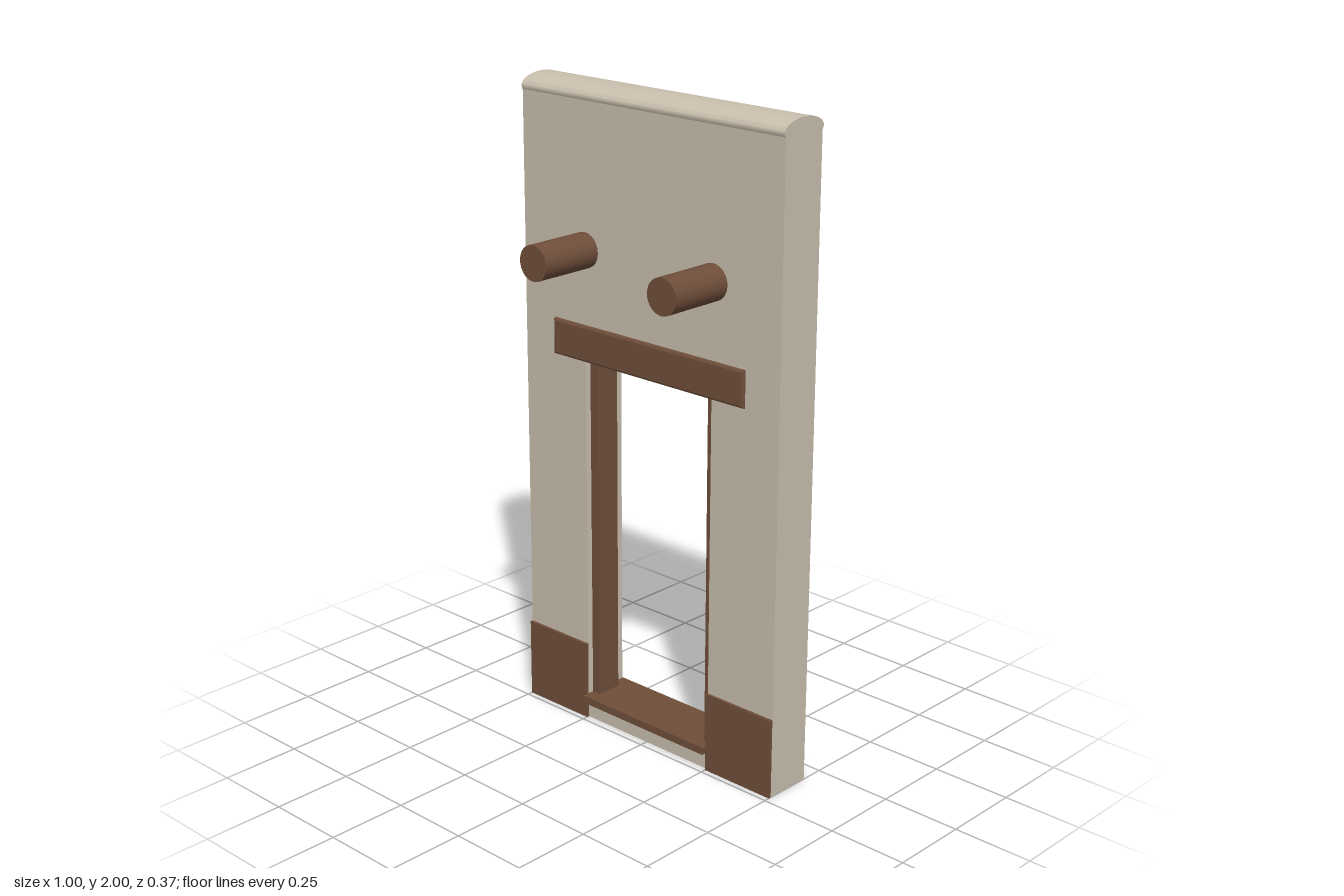
import * as THREE from 'three';
import { toCreasedNormals } from 'three/addons/utils/BufferGeometryUtils.js';

export function createModel() {
  const model = new THREE.Group();
  model.name = 'doorwayWall';

  const plaster = new THREE.MeshStandardMaterial({ color: 0xc9bfad });
  plaster.name = 'plaster';
  const wood = new THREE.MeshStandardMaterial({ color: 0x6f4e3a });
  wood.name = 'brownWood';

  const BACK = -0.178, FRONT = -0.026, MID = (BACK + FRONT) / 2;

  function add(name, geometry, material, x = 0, y = 0, z = 0) {
    const mesh = new THREE.Mesh(geometry, material);
    mesh.name = name;
    mesh.position.set(x, y, z);
    model.add(mesh);
    return mesh;
  }

  // Box given by its minimum and maximum corners
  function addBox(name, material, x0, x1, y0, y1, z0, z1) {
    return add(name, new THREE.BoxGeometry(x1 - x0, y1 - y0, z1 - z0), material,
      (x0 + x1) / 2, (y0 + y1) / 2, (z0 + z1) / 2);
  }

  function rectangle(PathType, x0, x1, y0, y1) {
    return new PathType([[x0, y0], [x1, y0], [x1, y1], [x0, y1]]
      .map(([x, y]) => new THREE.Vector2(x, y)));
  }

  // Wall slab with the door opening cut out
  const wallShape = rectangle(THREE.Shape, -0.5, 0.5, 0, 1.965);
  wallShape.holes.push(rectangle(THREE.Path, -0.25, 0.25, 0.056, 1.2));
  add('wall', new THREE.ExtrudeGeometry(wallShape, { depth: FRONT - BACK, bevelEnabled: false }),
    plaster, 0, 0, BACK);

  // Rounded coping along the top, slightly wider than the wall
  const cap = new THREE.Shape();
  cap.moveTo(-0.077, 1.955);
  cap.lineTo(0.077, 1.955);
  cap.lineTo(0.081, 1.965);
  cap.absellipse(0, 1.965, 0.081, 0.035, 0, Math.PI, false);
  cap.closePath();
  const capGeometry = toCreasedNormals(
    new THREE.ExtrudeGeometry(cap, { depth: 1, bevelEnabled: false, curveSegments: 24 }), 0.6);
  capGeometry.rotateY(Math.PI / 2);
  add('coping', capGeometry, plaster, -0.5, 0, MID);

  // Lintel beam through the wall with softened edges
  const bevel = 0.008;
  const lintelShape = rectangle(THREE.Shape, -0.375 + bevel, 0.375 - bevel, 1.174 + bevel, 1.287 - bevel);
  add('lintel', new THREE.ExtrudeGeometry(lintelShape, {
    depth: 0.15, bevelThickness: bevel, bevelSize: bevel, bevelSegments: 2,
  }), wood, 0, 0, -0.173);

  // Door sill, standing proud of the front
  addBox('sill', wood, -0.25, 0.25, 0.056, 0.08, -0.181, -0.003);

  for (const [side, s] of [['left', 1], ['right', -1]]) {
    // Door jamb set back inside the opening
    add(side + 'Jamb', new THREE.BoxGeometry(0.03, 1.1, 0.083), wood, s * 0.235, 0.628, -0.087);

    // Corner plate at the foot of the wall
    add(side + 'FootPlate', new THREE.BoxGeometry(0.25, 0.252, 0.009), wood, s * 0.375, 0.126, -0.0215);

    // Round beam end running through the wall
    const beam = new THREE.CylinderGeometry(0.054, 0.054, 0.363, 32);
    beam.rotateX(Math.PI / 2);
    add(side + 'Beam', beam, wood, s * 0.25, 1.515, 0.0005);
  }

  return model;
}
